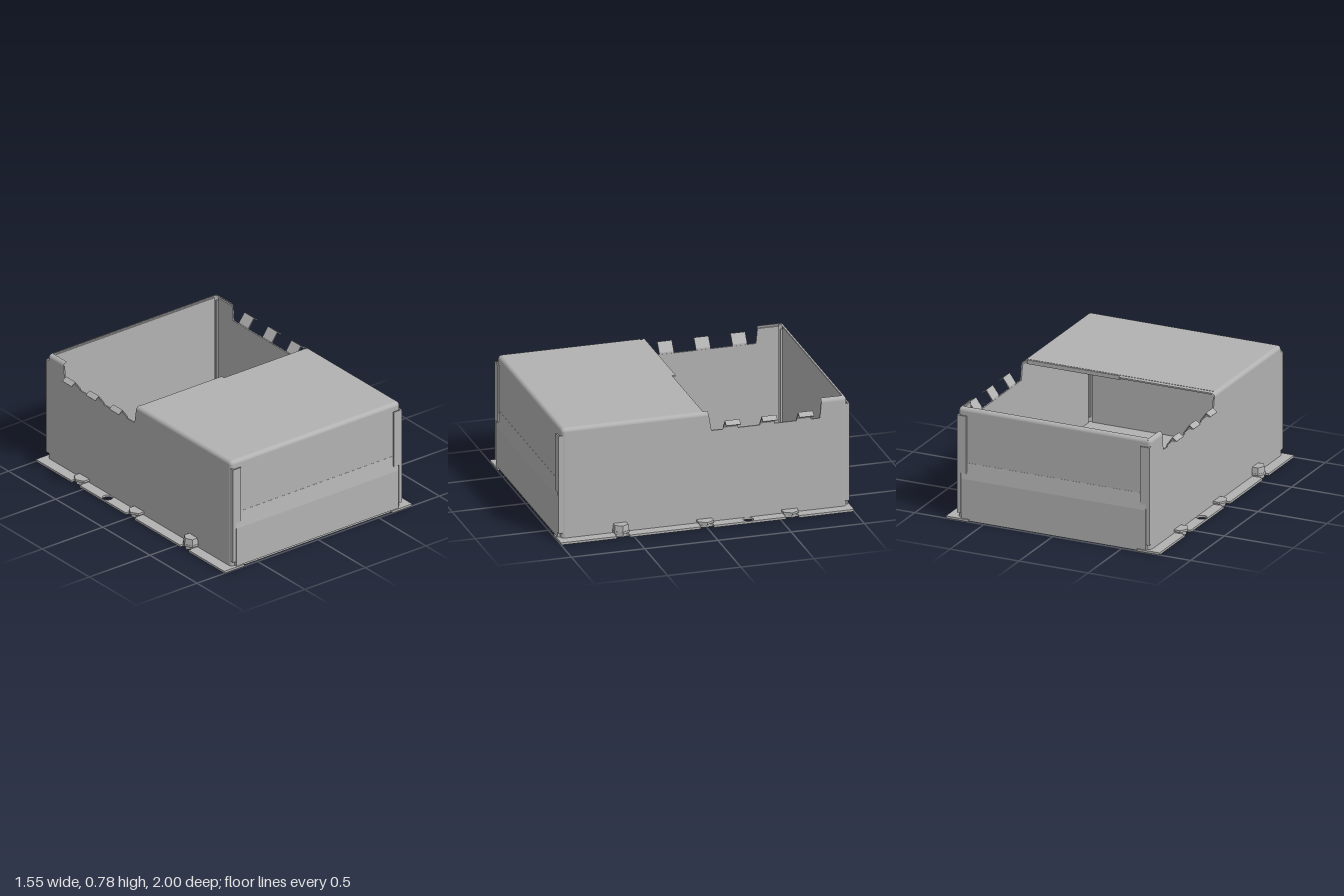
import * as THREE from 'three';

const W = 0.70, D = 0.975, H = 0.78; // outer half width, half depth, height of the case
const R = 0.027, T = 0.01; // edge radius, sheet thickness

export function createModel() {
  const model = new THREE.Group();
  const grey = new THREE.MeshStandardMaterial({ color: 0xb2b2b2, side: THREE.DoubleSide });
  grey.name = 'sheet metal grey';

  const add = (name, geo, x = 0, y = 0, z = 0) => {
    const m = new THREE.Mesh(geo, grey);
    m.name = name;
    m.position.set(x, y, z);
    model.add(m);
    return m;
  };
  const box = (name, x0, x1, y0, y1, z0, z1) =>
    add(name, new THREE.BoxGeometry(Math.abs(x1 - x0), y1 - y0, Math.abs(z1 - z0)),
      (x0 + x1) / 2, (y0 + y1) / 2, (z0 + z1) / 2);
  const extrude = (pts, depth, holes = []) => {
    const s = new THREE.Shape(pts.map(p => new THREE.Vector2(...p)));
    s.holes.push(...holes);
    return new THREE.ExtrudeGeometry(s, { depth, bevelEnabled: false, curveSegments: 16 });
  };
  // quarter-round strip, starting at the given quadrant
  const quarter = (len, quadrant) =>
    new THREE.CylinderGeometry(R, R, len, 6, 1, true, quadrant * Math.PI / 2, Math.PI / 2);

  // base plate with screw notches and mounting holes
  const fasteners = [-0.58, 0, 0.575];
  const side = [[0.775, -1]];
  for (const z of fasteners) {
    side.push([0.775, z - 0.045], [0.75, z - 0.045], [0.75, z + 0.045], [0.775, z + 0.045]);
  }
  side.push([0.775, 1], [0.61, 1], [0.61, 0.985]);
  const outline = [[0.61, -0.985], [0.61, -1], ...side];
  outline.push(...outline.map(([x, z]) => [-x, z]).reverse());
  const holes = [-1, 1].map(s => new THREE.Path().absarc(s * 0.735, -0.29, 0.035, 0, Math.PI * 2));
  const plate = extrude(outline, 0.015, holes);
  plate.rotateX(Math.PI / 2); // shape y becomes z, depth goes down
  add('basePlate', plate, 0, 0.015, 0);

  // side walls with the cable cut-out
  const wall = [[-D + R, 0.01], [D - R, 0.01], [D - R, H - R], [-0.033, H - R], [-0.05, 0.65],
    [-0.79, 0.65], [-0.80, H - R], [-D + R, H - R]];
  for (const s of [-1, 1]) {
    const g = extrude(wall, T);
    g.rotateY(-Math.PI / 2);
    add('sideWall', g, s > 0 ? W : -W + T, 0, 0);

    // rounded top edges beside the cut-out
    for (const [z0, z1] of [[-D + R, -0.80], [-0.03, D - R]]) {
      const e = quarter(z1 - z0, s > 0 ? 1 : 2);
      e.rotateX(Math.PI / 2);
      add('sideTopEdge', e, s * (W - R), H - R, (z0 + z1) / 2);
    }

    // bent cable tabs on the cut-out
    const tab = [[0.69, 0.64], [0.70, 0.645], [0.70, 0.66], [0.737, 0.714], [0.764, 0.694],
      [0.768, 0.699], [0.736, 0.723], [0.692, 0.662]].map(([x, y]) => [s * x, y]);
    for (const z of [-0.68, -0.43, -0.18]) add('cableTab', extrude(tab, 0.1), 0, 0, z - 0.05);

    // hexagonal fasteners straddling the walls
    fasteners.forEach((z, i) => {
      const hex = (r0, r1, h) => {
        const g = new THREE.CylinderGeometry(r0, r1, h, 6).toNonIndexed();
        g.rotateY(Math.PI / 2);
        g.computeVertexNormals();
        return g;
      };
      add('fastenerShank', hex(0.05, 0.05, 0.025), s * 0.715, 0.0135, z);
      add('fastenerFlange', hex(0.06, 0.06, 0.015), s * 0.715, 0.0315, z);
      if (i === 2) add('fastenerHead', hex(0.051, 0.058, 0.042), s * 0.715, 0.058, z);
    });
  }

  // end walls, their rounded edges, stepped panels and corner strips
  for (const f of [-1, 1]) {
    box('endWall', -W + R, W - R, 0.01, H - R, f * (D - T), f * D);
    const top = quarter(2 * (W - R), f > 0 ? 0 : 1);
    top.rotateZ(Math.PI / 2);
    add('endTopEdge', top, 0, H - R, f * (D - R));

    const step = [[0.97, 0.015], [0.992, 0.015], [0.992, 0.29], [0.976, 0.40], [0.97, 0.40]]
      .map(([z, y]) => [f * z, y]);
    const panel = extrude(step, 1.34);
    panel.rotateY(-Math.PI / 2);
    add('endPanel', panel, 0.67, 0, 0);

    for (const s of [-1, 1]) {
      const quadrant = f > 0 ? (s > 0 ? 0 : 3) : (s > 0 ? 1 : 2);
      add('cornerEdge', quarter(H - R - 0.01, quadrant), s * (W - R), (H - R + 0.01) / 2, f * (D - R));
      // sphere longitude that matches this corner
      const phi = f > 0 ? (s > 0 ? 1 : 0) : (s > 0 ? 2 : 3);
      add('cornerCap', new THREE.SphereGeometry(R, 6, 5, phi * Math.PI / 2, Math.PI / 2, 0, Math.PI / 2),
        s * (W - R), H - R, f * (D - R));
      const strip = [[0.697, 0.05], [0.697, 0.73], [0.63, 0.73], [0.63, 0.33], [0.672, 0.33], [0.672, 0.05]]
        .map(([x, y]) => [s * x, y]);
      add('cornerStrip', extrude(strip, 0.008), 0, 0, f > 0 ? 0.985 : -0.993);
      // fold joining the strip to the case
      box('stripFold', s * 0.685, s * 0.697, 0.05, 0.73, f * 0.955, f * 0.988);
    }
  }

  // front lid with its offset centre seam
  box('lid', -W + R, W - R, H - 0.008, H, 0.01, D - R);
  box('lidTongue', -W + R, 0, H - 0.012, H - 0.002, -0.025, 0.01);
  box('lidEdge', 0, W - R, H - 0.03, H - 0.002, 0, 0.012);

  return model;
}
